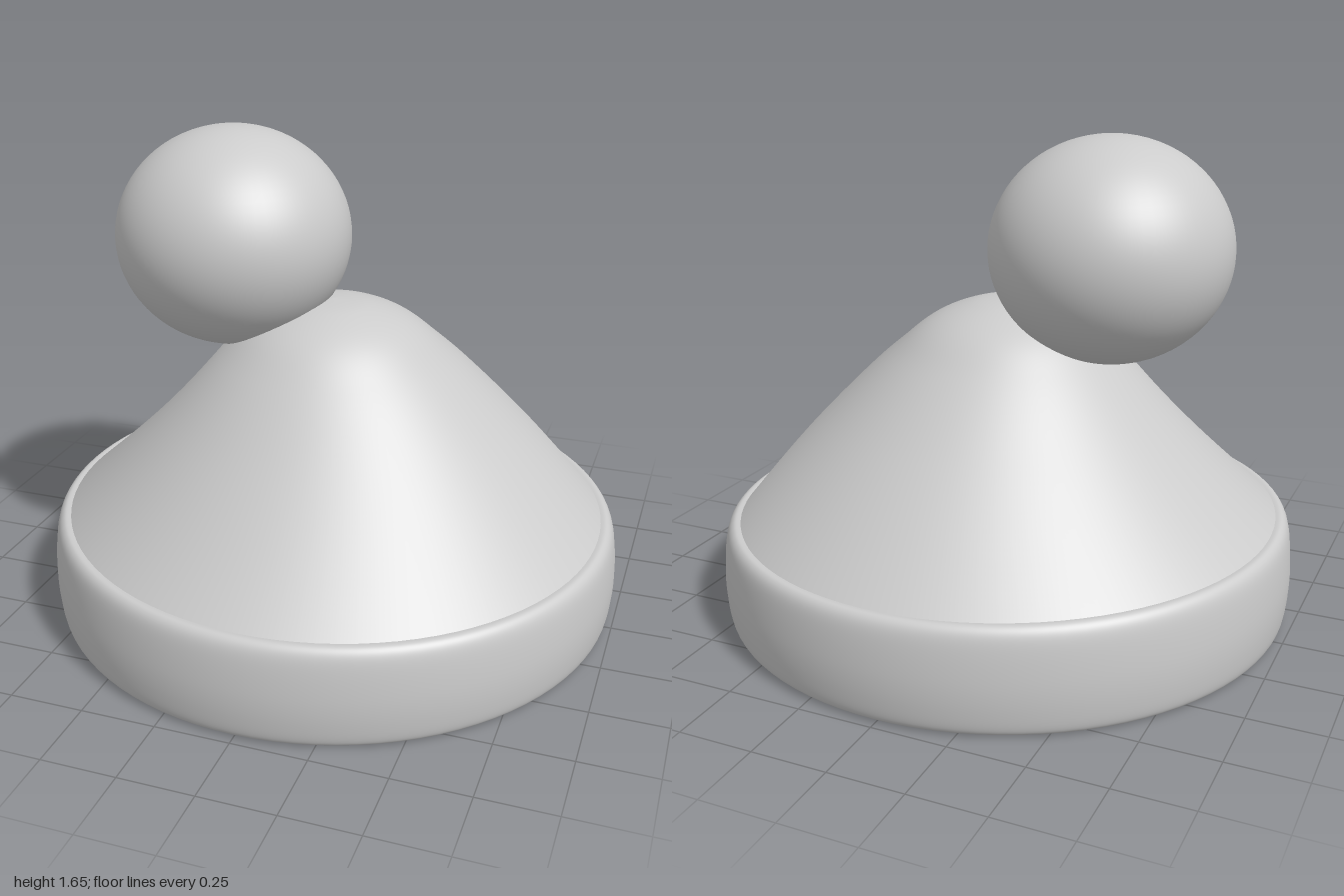
import * as THREE from 'three';

const material = new THREE.MeshStandardMaterial({ color: 0xcccccc, side: THREE.DoubleSide });

// Smooth surface of revolution; control points [radius, height] run bottom to top
function revolve(name, points, samples, warp) {
  const curve = new THREE.SplineCurve(points.map(([r, y]) => new THREE.Vector2(r, y)));
  const profile = curve.getPoints(samples).map((p) => new THREE.Vector2(Math.max(p.x, 0), p.y));
  const geometry = new THREE.LatheGeometry(profile, 96);
  const pos = geometry.attributes.position;
  const v = new THREE.Vector3();
  if (warp) {
    for (let i = 0; i < pos.count; i++) {
      warp(v.fromBufferAttribute(pos, i));
      pos.setXYZ(i, v.x, v.y, v.z);
    }
  }
  const mesh = new THREE.Mesh(geometry, material);
  mesh.name = name;
  return mesh;
}

// The top of the brim band leans down slightly towards +x
const lean = (v) => { v.y -= 0.015 * v.x * Math.min(v.y / 0.35, 1); };

export function createModel() {
  const hat = new THREE.Group();
  hat.name = 'hat';

  // Brim band with rounded edges
  hat.add(revolve('brimBand', [
    [0.93, 0.005], [0.955, 0.006], [0.977, 0.025], [0.988, 0.09], [0.991, 0.17],
    [0.985, 0.26], [0.974, 0.32], [0.955, 0.347], [0.93, 0.349], [0.9, 0.34],
  ], 60, lean));

  // Soft cone, its middle pushed a little to +x
  hat.add(revolve('crown', [
    [0.94, 0.34], [0.8, 0.485], [0.6, 0.695], [0.4, 0.905],
    [0.27, 1.02], [0.13, 1.08], [0, 1.095],
  ], 60, (v) => {
    const t = THREE.MathUtils.clamp((v.y - 0.35) / 0.6, 0, 1);
    const top = THREE.MathUtils.smoothstep(v.y, 0.85, 1.09);
    v.x += 0.025 * Math.sin(Math.PI * t) - 0.012 * top;
    v.y -= 0.015 * v.x * (1 - t);
  }));

  // Hollow underside
  hat.add(revolve('lining', [
    [0.93, 0.005], [0.8, 0.08], [0.6, 0.18], [0.4, 0.25], [0.2, 0.29], [0, 0.305],
  ], 40));

  // Slightly flattened pompom hanging off one side of the tip
  const pompom = new THREE.Mesh(new THREE.SphereGeometry(0.4, 64, 40), material);
  pompom.name = 'pompom';
  pompom.scale.y = 0.925;
  pompom.position.set(-0.365, 1.285, 0);
  hat.add(pompom);

  return hat;
}
